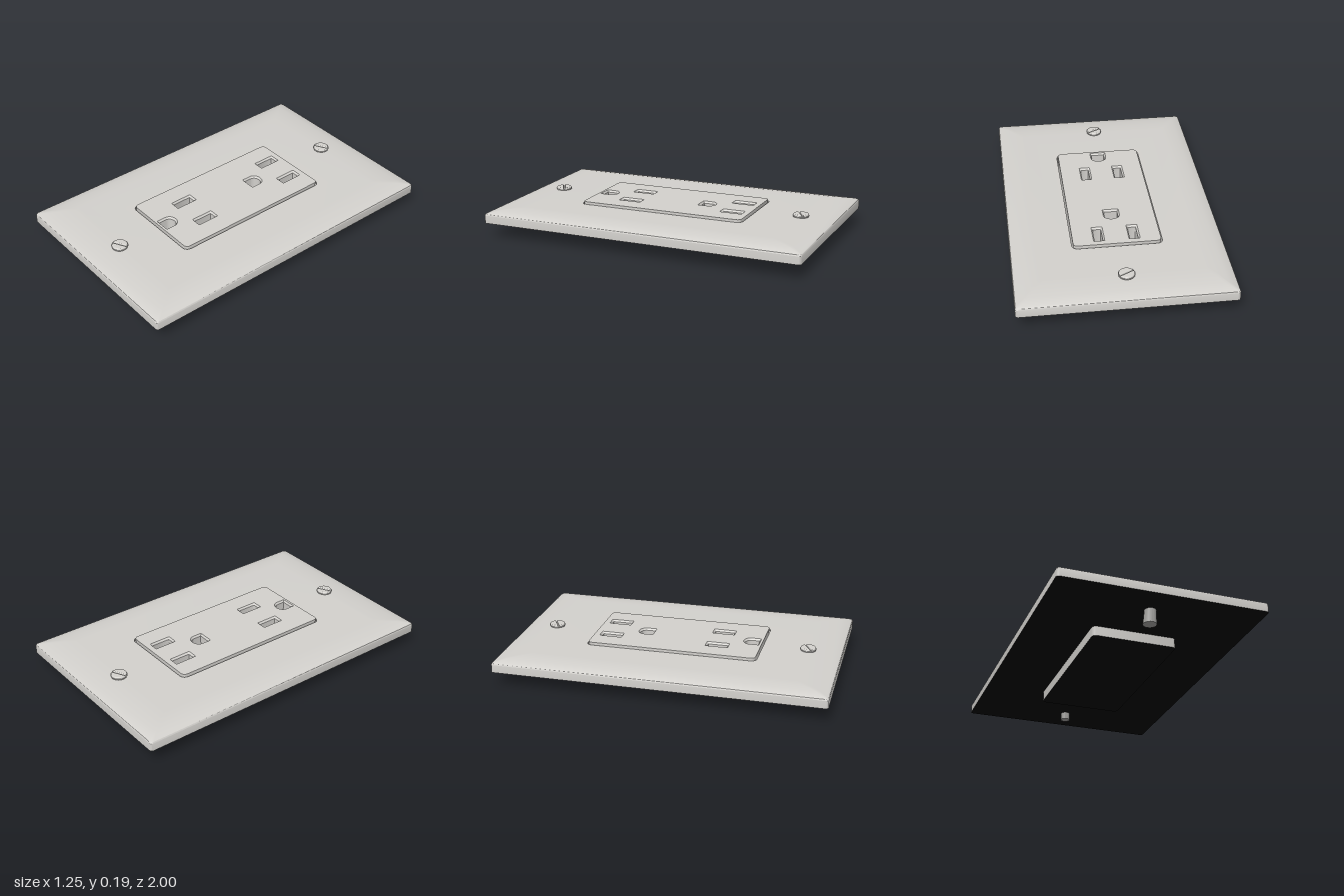
import * as THREE from 'three';
import { mergeGeometries, toCreasedNormals } from 'three/addons/utils/BufferGeometryUtils.js';

const body = new THREE.MeshStandardMaterial({ color: 0xd3d1cd });
body.name = 'ivory plastic';
const black = new THREE.MeshStandardMaterial({ color: 0x050505, side: THREE.DoubleSide });
black.name = 'black backing';
const metal = new THREE.MeshStandardMaterial({ color: 0xa3a29f });
metal.name = 'screw metal';

// Outlines are counter-clockwise point lists seen from above; outline y is -z.
function roundRect(hw, hh, r, cx = 0, cy = 0) {
  const pts = [];
  [[1, 1], [-1, 1], [-1, -1], [1, -1]].forEach(([sx, sy], q) => {
    for (let i = 0; i <= 5; i++) {
      const a = (q + i / 5) * Math.PI / 2;
      pts.push(new THREE.Vector2(
        cx + sx * (hw - r) + r * Math.cos(a),
        cy + sy * (hh - r) + r * Math.sin(a)));
    }
  });
  return pts;
}

// Flat-bottomed, arched outline of the earth hole
function archOutline(grow, cx, cy) {
  const w = 0.04 + grow, h = 0.042 + grow;
  const pts = [new THREE.Vector2(cx - w, cy - h), new THREE.Vector2(cx + w, cy - h)];
  for (let i = 0; i <= 12; i++) {
    const a = Math.PI * i / 12;
    pts.push(new THREE.Vector2(cx + w * Math.cos(a), cy + 0.008 + (h - 0.008) * Math.sin(a)));
  }
  return pts;
}

// Walls through [outline, height] rings: rising rings face out, falling rings face in
function loft(rings) {
  const pos = [];
  const n = rings[0][0].length;
  const put = ([pts, y], i) => pos.push(pts[i % n].x, y, -pts[i % n].y);
  for (let k = 0; k + 1 < rings.length; k++) {
    const a = rings[k], b = rings[k + 1];
    for (let i = 0; i < n; i++) {
      put(a, i); put(a, i + 1); put(b, i + 1);
      put(a, i); put(b, i + 1); put(b, i);
    }
  }
  const g = new THREE.BufferGeometry();
  g.setAttribute('position', new THREE.Float32BufferAttribute(pos, 3));
  return g;
}

// Horizontal face with holes, facing up
function cap(outline, y, holes = []) {
  const shape = new THREE.Shape(outline);
  holes.forEach(h => shape.holes.push(new THREE.Path(h)));
  const g = new THREE.ShapeGeometry(shape).rotateX(-Math.PI / 2).translate(0, y, 0).toNonIndexed();
  g.deleteAttribute('uv');
  g.deleteAttribute('normal');
  return g;
}

function add(group, name, geometry, material) {
  const m = new THREE.Mesh(geometry, material);
  m.name = name;
  group.add(m);
  return m;
}

const solid = parts => toCreasedNormals(mergeGeometries(parts), 0.5);

function createScrew(name, z, bottom, flare) {
  const screw = new THREE.Group();
  screw.name = name;
  screw.position.set(-0.012, 0, z);

  // Domed head: a base disc and two raised halves either side of the slot
  const head = new THREE.Group();
  head.name = 'screwHead';
  head.rotation.y = 0.5;
  screw.add(head);
  const base = add(head, 'headBase', new THREE.CylinderGeometry(0.05, 0.046, 0.008, 32), body);
  base.position.y = 0.175;
  for (const turn of [0, Math.PI]) {
    const half = new THREE.Shape();
    half.absarc(0, 0, 0.041, 0.22, Math.PI - 0.22, false);
    const g = new THREE.ExtrudeGeometry(half, {
      depth: 0.002, bevelThickness: 0.008, bevelSize: 0.006, bevelSegments: 3, curveSegments: 20,
    }).rotateX(-Math.PI / 2).translate(0, 0.18, 0);
    add(head, 'headHalf', g, body).rotation.y = turn;
  }

  // Shank, slightly flared and leaning on the front screw
  const top = 0.165;
  const shank = new THREE.CylinderGeometry(0.029, 0.029 + flare, top - bottom, 24);
  const p = shank.attributes.position;
  for (let i = 0; i < p.count; i++) {
    if (p.getY(i) < 0) p.setX(i, p.getX(i) - flare * 0.7);
  }
  shank.computeVertexNormals();
  add(screw, 'shank', toCreasedNormals(shank, 0.8), metal).position.y = (top + bottom) / 2;
  return screw;
}

export function createModel() {
  const model = new THREE.Group();
  model.name = 'wallOutlet';

  // Cover plate: upright rim, rolled edge, crowned top and a window
  const ring = (dx, dz, y) => [roundRect(0.625 - dx, 1 - dz, 0.018), y];
  const rim = [
    ring(0, 0, 0.09), ring(0, 0, 0.138), ring(0.004, 0.004, 0.146), ring(0.014, 0.014, 0.152),
    ring(0.06, 0.07, 0.163), ring(0.105, 0.14, 0.17), ring(0.15, 0.2, 0.1725),
  ];
  const windowEdge = roundRect(0.266, 0.524, 0.034);
  add(model, 'coverPlate', solid([
    loft(rim),
    cap(rim[rim.length - 1][0], 0.1725, [windowEdge]),
    loft([[windowEdge, 0.1725], [windowEdge, 0.09]]),
  ]), body);

  // Receptacle block with bevelled slots
  const blockEdge = roundRect(0.258, 0.516, 0.027);
  const low = 0.03, high = 0.187;
  const openings = [];
  for (const [slotZ, earthZ] of [[-0.41, -0.214], [0.257, 0.45]]) {
    for (const x of [-0.104, 0.104]) {
      openings.push(g => roundRect(0.024 + g, 0.061 + g, 0.004, x, -slotZ));
    }
    openings.push(g => archOutline(g, 0, -earthZ));
  }
  const bevel = 0.009;
  add(model, 'receptacle', solid([
    loft([[blockEdge, low], [blockEdge, high]]),
    cap(blockEdge, high, openings.map(o => o(bevel))),
    ...openings.map(o => loft([[o(bevel), high], [o(0), high - 0.012], [o(0), low]])),
  ]), body);

  // Black undersides, also seen down the slots and the gap round the block
  const backs = [
    ['plateBack', cap(rim[0][0], 0.09, [blockEdge])],
    ['receptacleBack', cap(blockEdge, low)],
  ];
  for (const [name, g] of backs) {
    g.computeVertexNormals();
    add(model, name, g, black);
  }

  model.add(createScrew('frontScrew', 0.797, 0, 0.011));
  model.add(createScrew('backScrew', -0.8, 0.045, 0));
  return model;
}
